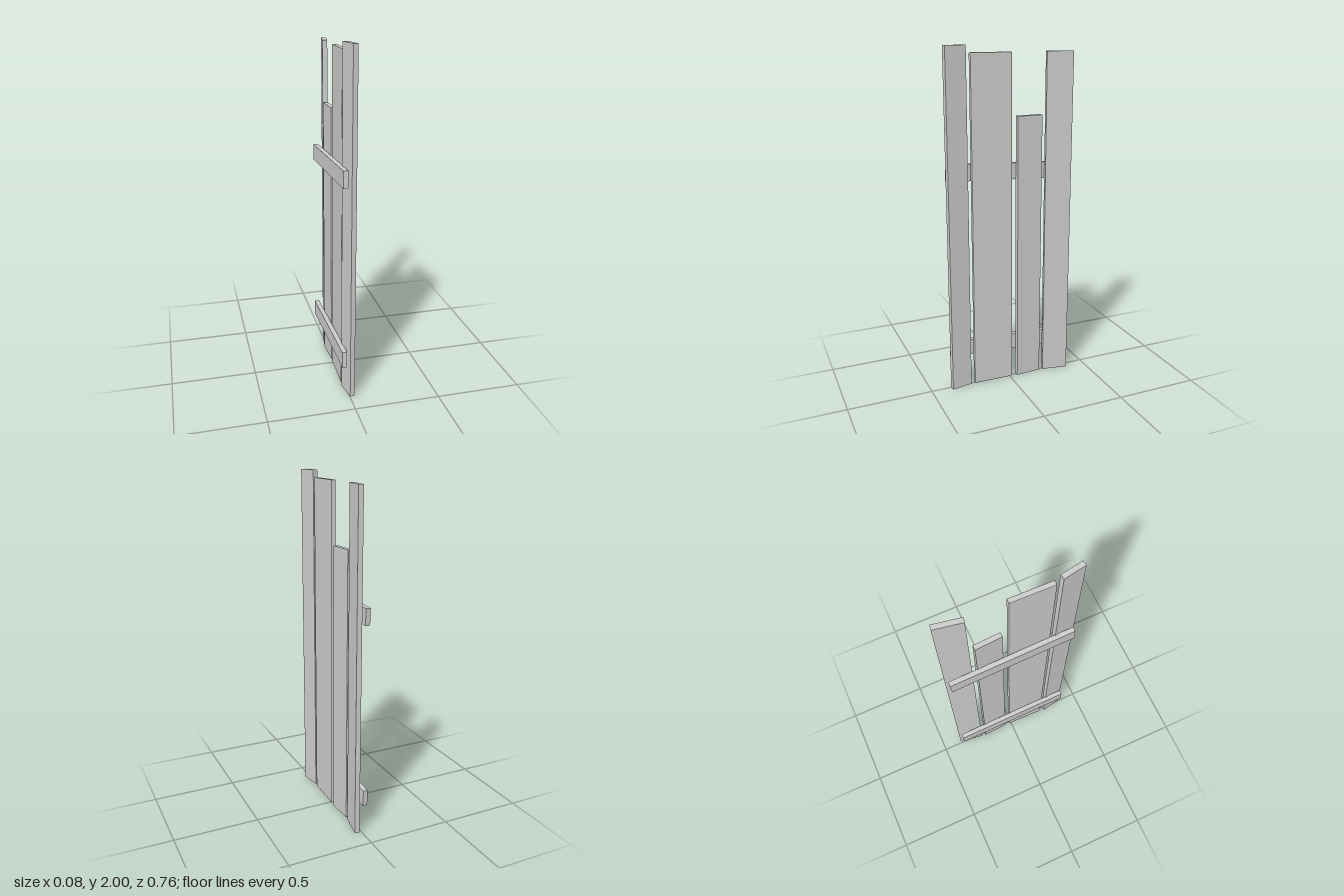
import * as THREE from 'three';
import { RoundedBoxGeometry } from 'three/addons/geometries/RoundedBoxGeometry.js';

const THICK = 0.028;

export function createModel() {
  const group = new THREE.Group();
  const material = new THREE.MeshStandardMaterial({ color: 0xcccccc, flatShading: true });

  function addPart(name, geometry, x, y, z) {
    const mesh = new THREE.Mesh(geometry, material);
    mesh.name = name;
    mesh.position.set(x, y, z);
    group.add(mesh);
    return mesh;
  }

  // Upright planks, each turned a little about its own vertical axis
  const planks = [
    { x: 0.0045, z: 0.3155, width: 0.126, height: 2.0, turn: 0.175 },
    { x: 0.001, z: 0.108, width: 0.242, height: 1.96, turn: -0.02, chamfer: 0.005 },
    { x: 0.001, z: -0.1235, width: 0.155, height: 1.61, turn: 0.06 },
    { x: 0.0138, z: -0.303, width: 0.155, height: 1.96, turn: -0.18 },
  ];
  planks.forEach((p, i) => {
    const geometry = p.chamfer
      ? new RoundedBoxGeometry(THICK, p.height, p.width, 1, p.chamfer)
      : new THREE.BoxGeometry(THICK, p.height, p.width);
    addPart(`plank${i + 1}`, geometry, p.x, p.height / 2, p.z).rotation.y = p.turn;
  });

  // Two slightly sloping rails behind the planks
  const rails = { lowerRail: 0.224, upperRail: 1.295 };
  for (const [name, y] of Object.entries(rails)) {
    const geometry = new THREE.BoxGeometry(THICK, 0.096, 0.735);
    addPart(name, geometry, -0.0285, y, 0).rotation.x = -0.049;
  }

  return group;
}
